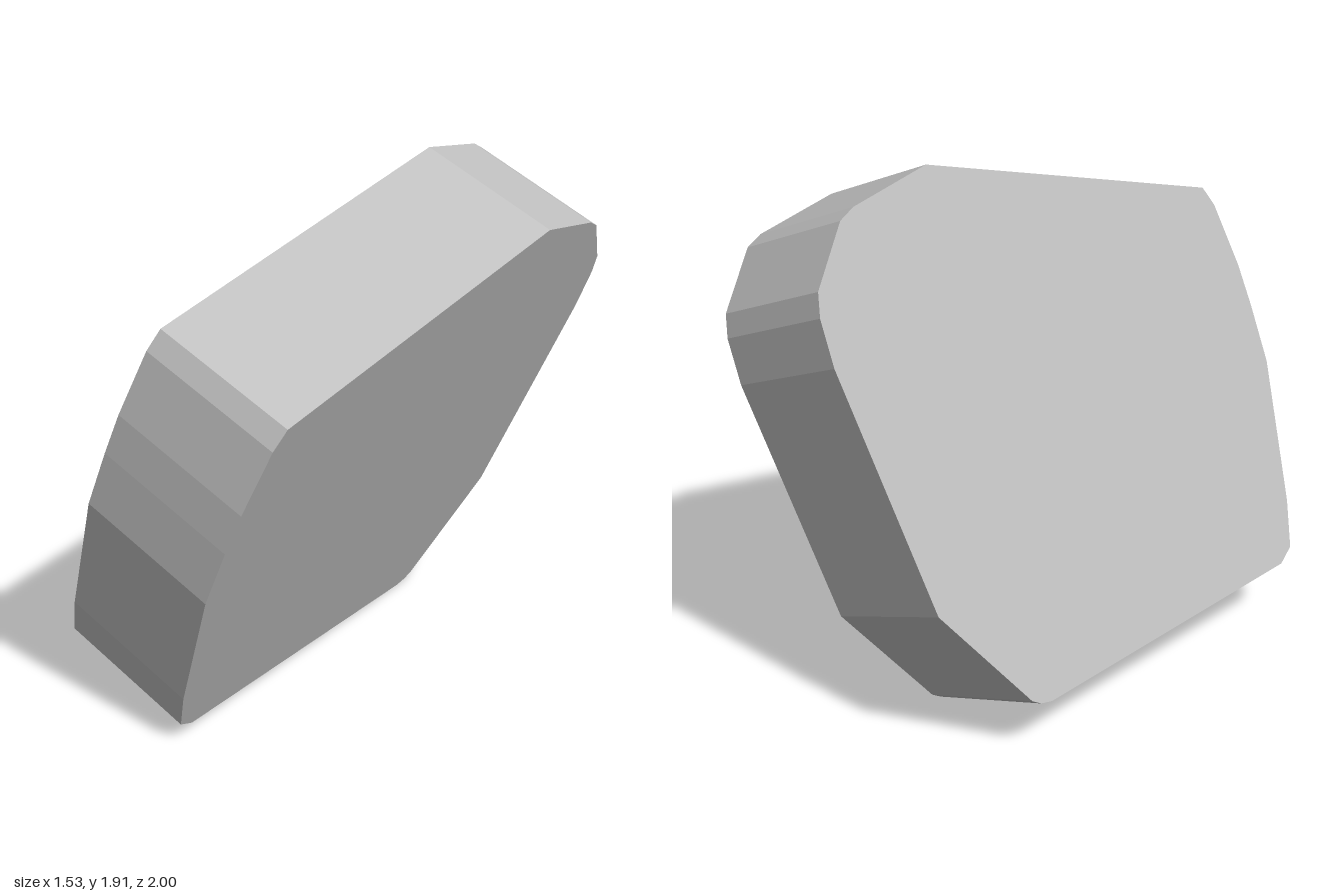
import * as THREE from 'three';

// Cap outline as seen from the side: [z, y]
const OUTLINE = [
  [0.95, 1.40], [-0.25, 1.705], [-0.58, 1.635], [-0.645, 1.605], [-0.815, 1.425],
  [-0.843, 1.35], [-0.86, 1.20], [-0.83, 0.40], [-0.605, 0.03], [-0.575, 0.01],
  [-0.53, 0.0], [0.70, 0.04], [0.775, 0.08], [0.84, 0.24], [0.98, 0.74],
  [0.996, 0.95], [1.0, 1.10], [0.98, 1.33],
];

export function createModel() {
  const model = new THREE.Group();
  model.name = 'stone';
  const grey = new THREE.MeshStandardMaterial({ color: 0xc0c0c0 });
  grey.name = 'stone grey';

  // Straight slab of unit depth
  const shape = new THREE.Shape(OUTLINE.map(([z, y]) => new THREE.Vector2(z, y)));
  const slab = new THREE.ExtrudeGeometry(shape, { depth: 1, bevelEnabled: false, steps: 1 });

  // Lay the cap on its tilted plane and run the depth along the slab's thickness
  slab.applyMatrix4(new THREE.Matrix4().set(
    -0.282, 0.417, -0.49, -0.091,
    0, 1, 0.20, 0,
    1, 0, -0.14, 0,
    0, 0, 0, 1,
  ));

  const mesh = new THREE.Mesh(slab, grey);
  mesh.name = 'stoneSlab';
  model.add(mesh);
  return model;
}
